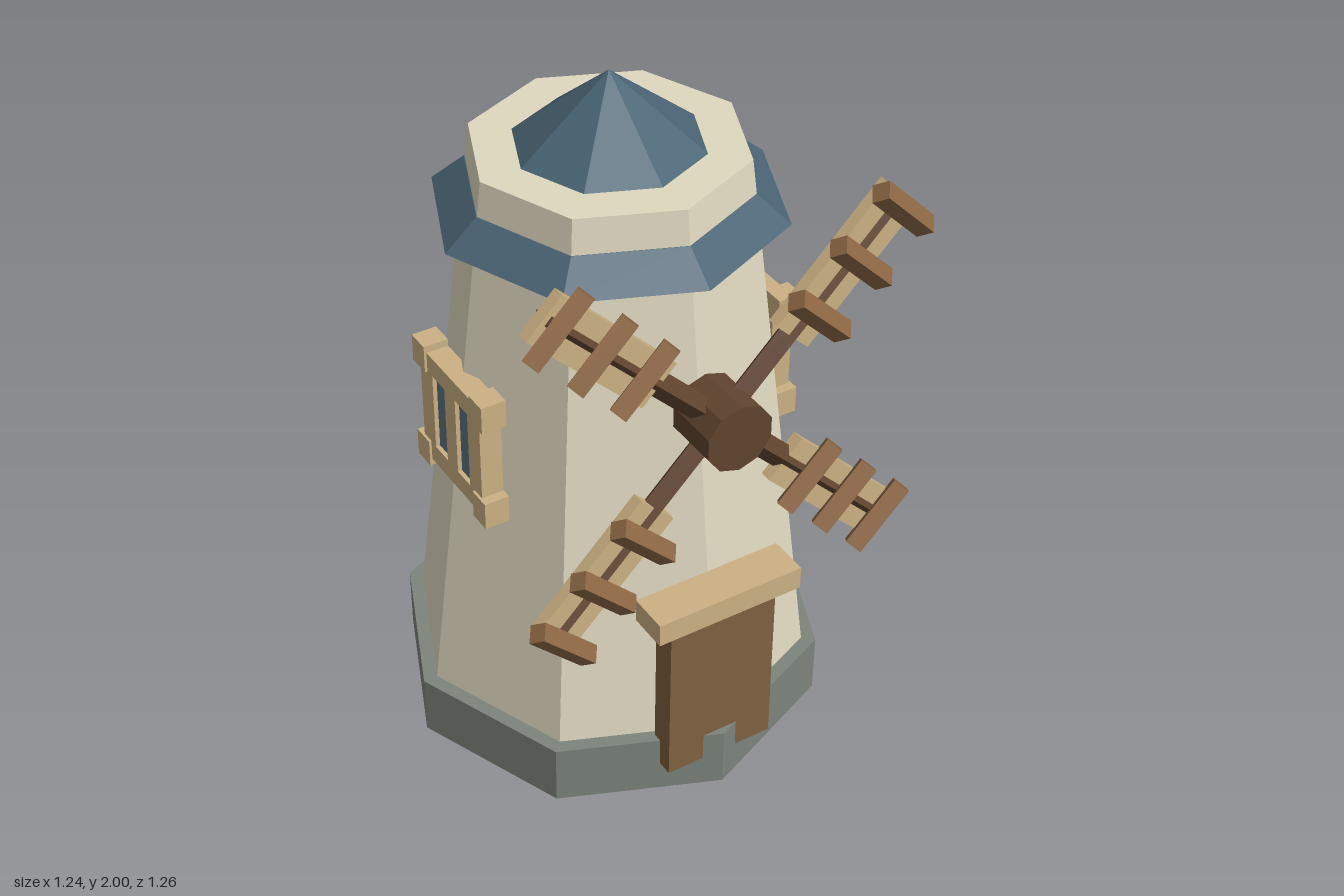
import * as THREE from 'three';

const mat = (color) => new THREE.MeshStandardMaterial({ color, flatShading: true });
const M = {
  stone: mat(0x7c847c), plaster: mat(0xe0d8c0), roof: mat(0x4a6474), tan: mat(0xcbb183),
  brown: mat(0x8c6644), darkBrown: mat(0x60442f), door: mat(0x80603f), glass: mat(0x5c7682),
};

function add(parent, name, geometry, material, x = 0, y = 0, z = 0) {
  const mesh = new THREE.Mesh(geometry, material);
  mesh.name = name;
  mesh.position.set(x, y, z);
  parent.add(mesh);
  return mesh;
}

// Eight-sided tower section between two heights
function section(parent, name, rBottom, rTop, y0, y1, material) {
  add(parent, name, new THREE.CylinderGeometry(rTop, rBottom, y1 - y0, 8), material, 0, (y0 + y1) / 2, 0);
}

function rectPath(Type, x0, x1, y0, y1) {
  const p = new Type();
  p.moveTo(x0, y0);
  p.lineTo(x1, y0);
  p.lineTo(x1, y1);
  p.lineTo(x0, y1);
  p.closePath();
  return p;
}

// Two-pane window facing +z, with its back at z = 0
function createWindow() {
  const g = new THREE.Group();
  g.name = 'window';
  const frame = rectPath(THREE.Shape, -0.163, 0.163, -0.18, 0.18);
  for (const s of [-1, 1]) {
    frame.holes.push(rectPath(THREE.Path, s * 0.063 - 0.034, s * 0.063 + 0.034, -0.12, 0.12));
  }
  add(g, 'windowFrame', new THREE.ExtrudeGeometry(frame, { depth: 0.065, bevelEnabled: false }), M.tan);
  add(g, 'windowGlass', new THREE.BoxGeometry(0.22, 0.26, 0.045), M.glass, 0, 0, 0.03);
  for (const sx of [-1, 1]) {
    for (const sy of [-1, 1]) {
      add(g, 'windowCorner', new THREE.BoxGeometry(0.068, 0.083, 0.073), M.tan, sx * 0.158, sy * 0.16, 0.036);
    }
  }
  return g;
}

// Sail pointing along +y: diamond spar, flat panel and diamond slats
function createSail() {
  const g = new THREE.Group();
  g.name = 'sail';
  add(g, 'sailSpar', new THREE.CylinderGeometry(0.035, 0.035, 0.72, 4), M.darkBrown, 0, 0.36, 0.537);
  add(g, 'sailPanel', new THREE.BoxGeometry(0.14, 0.455, 0.035), M.tan, 0, 0.508, 0.54);
  for (const u of [0.366, 0.535, 0.705]) {
    const slat = add(g, 'sailSlat', new THREE.CylinderGeometry(0.035, 0.035, 0.214, 4), M.brown, 0, u, 0.587);
    slat.rotation.z = Math.PI / 2;
  }
  return g;
}

export function createModel() {
  const model = new THREE.Group();
  model.name = 'windmill';

  // Tower and roof
  const tower = new THREE.Group();
  tower.name = 'tower';
  tower.position.z = -0.01;
  model.add(tower);
  section(tower, 'stoneBase', 0.62, 0.62, 0, 0.185, M.stone);
  section(tower, 'towerWall', 0.578, 0.378, 0.185, 1.79, M.plaster);
  section(tower, 'roofSkirt', 0.485, 0.392, 1.61, 1.69, M.roof);
  section(tower, 'roofCap', 0.26, 0, 1.79, 2, M.roof);

  // Windows on both sides and the back
  for (const [angle, y, r] of [[Math.PI / 2, 1.045, 0.428], [-Math.PI / 2, 1.045, 0.428], [Math.PI, 1.167, 0.398]]) {
    const w = createWindow();
    w.position.set(Math.sin(angle) * r, y, Math.cos(angle) * r);
    w.rotation.y = angle;
    tower.add(w);
  }

  // Door and lintel
  add(model, 'door', new THREE.BoxGeometry(0.335, 0.545, 0.075), M.door, 0, 0.37, 0.55);
  add(model, 'doorLintel', new THREE.BoxGeometry(0.45, 0.07, 0.12), M.tan, 0, 0.67, 0.56);

  // Hub and four sails
  const rotor = new THREE.Group();
  rotor.name = 'rotor';
  rotor.position.y = 1.247;
  model.add(rotor);
  const hub = add(rotor, 'hub', new THREE.CylinderGeometry(0.1, 0.1, 0.165, 10), M.darkBrown, 0, 0, 0.547);
  hub.rotation.x = Math.PI / 2;
  for (let i = 0; i < 4; i++) {
    const sail = createSail();
    sail.rotation.z = Math.PI / 4 + i * Math.PI / 2;
    rotor.add(sail);
  }
  return model;
}
